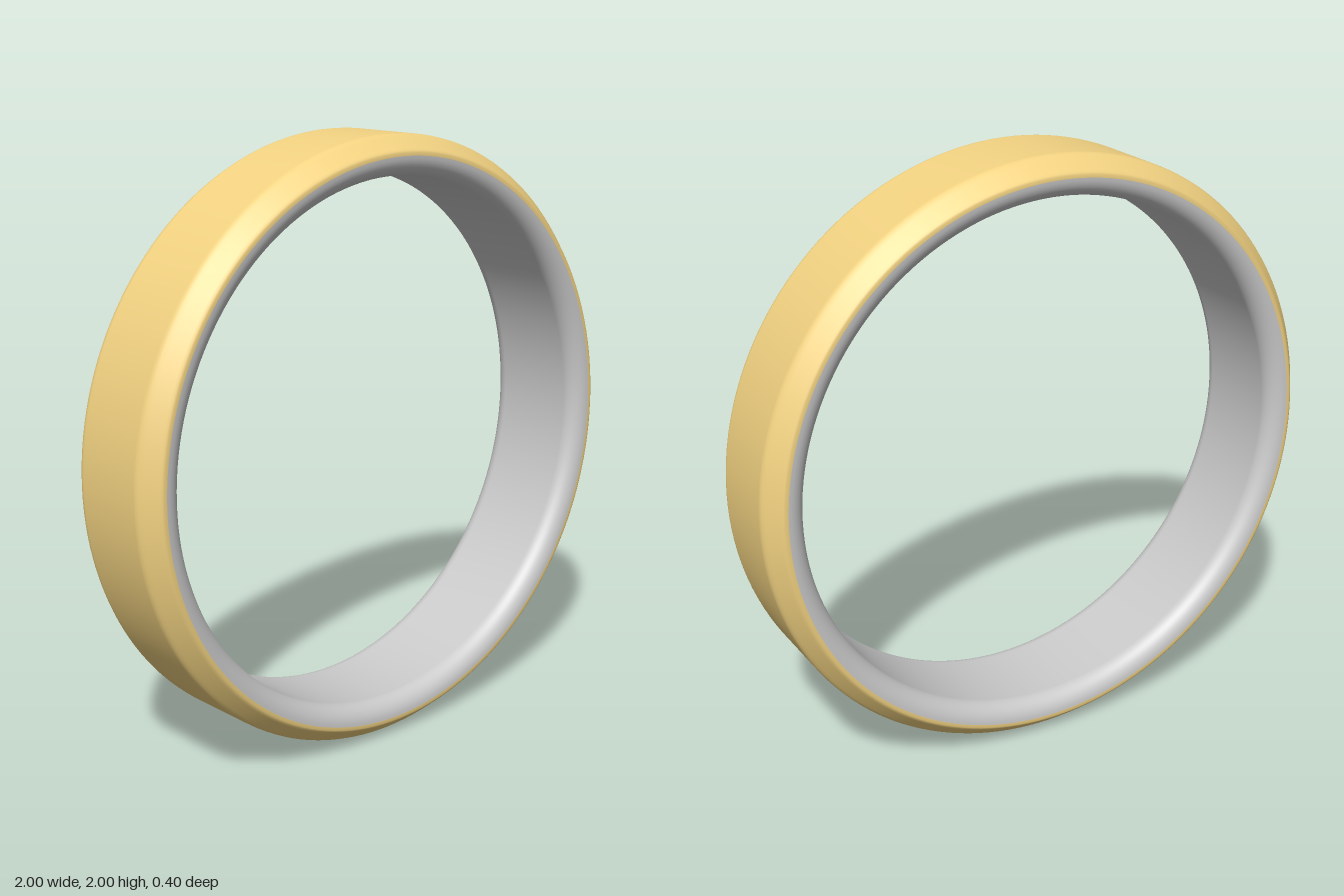
import * as THREE from 'three';

// Revolve a half profile of [radius, z] points, mirrored across z = 0, about the z axis
function revolve(name, half, color) {
  const mirrored = half.map(([r, z]) => [r, -z]).reverse();
  const profile = [...half, ...mirrored].map(([r, z]) => new THREE.Vector2(r, z));
  const geometry = new THREE.LatheGeometry(profile, 160);
  geometry.rotateX(Math.PI / 2);
  const mesh = new THREE.Mesh(geometry, new THREE.MeshStandardMaterial({ color }));
  mesh.name = name;
  mesh.position.y = 1;
  return mesh;
}

export function createModel() {
  const ring = new THREE.Group();
  ring.name = 'ring';

  // Gold band: narrow flat rim, chamfer with softened corners, straight outer wall
  ring.add(revolve('outerBand', [
    [0.935, -0.2], [0.945, -0.2], [0.951, -0.197], [0.957, -0.191],
    [0.988, -0.153], [0.995, -0.144], [0.999, -0.135], [1, -0.125],
  ], 0xf3d382));

  // Grey liner: rounded lip that eases into the straight bore
  const lip = [];
  const steps = 10;
  for (let i = 0; i <= steps; i++) {
    const a = (i / steps) * Math.PI / 2;
    lip.push([0.935 - 0.065 * Math.sin(a), 0.14 + 0.06 * Math.cos(a)]);
  }
  ring.add(revolve('innerLiner', lip, 0xcccccc));

  return ring;
}
